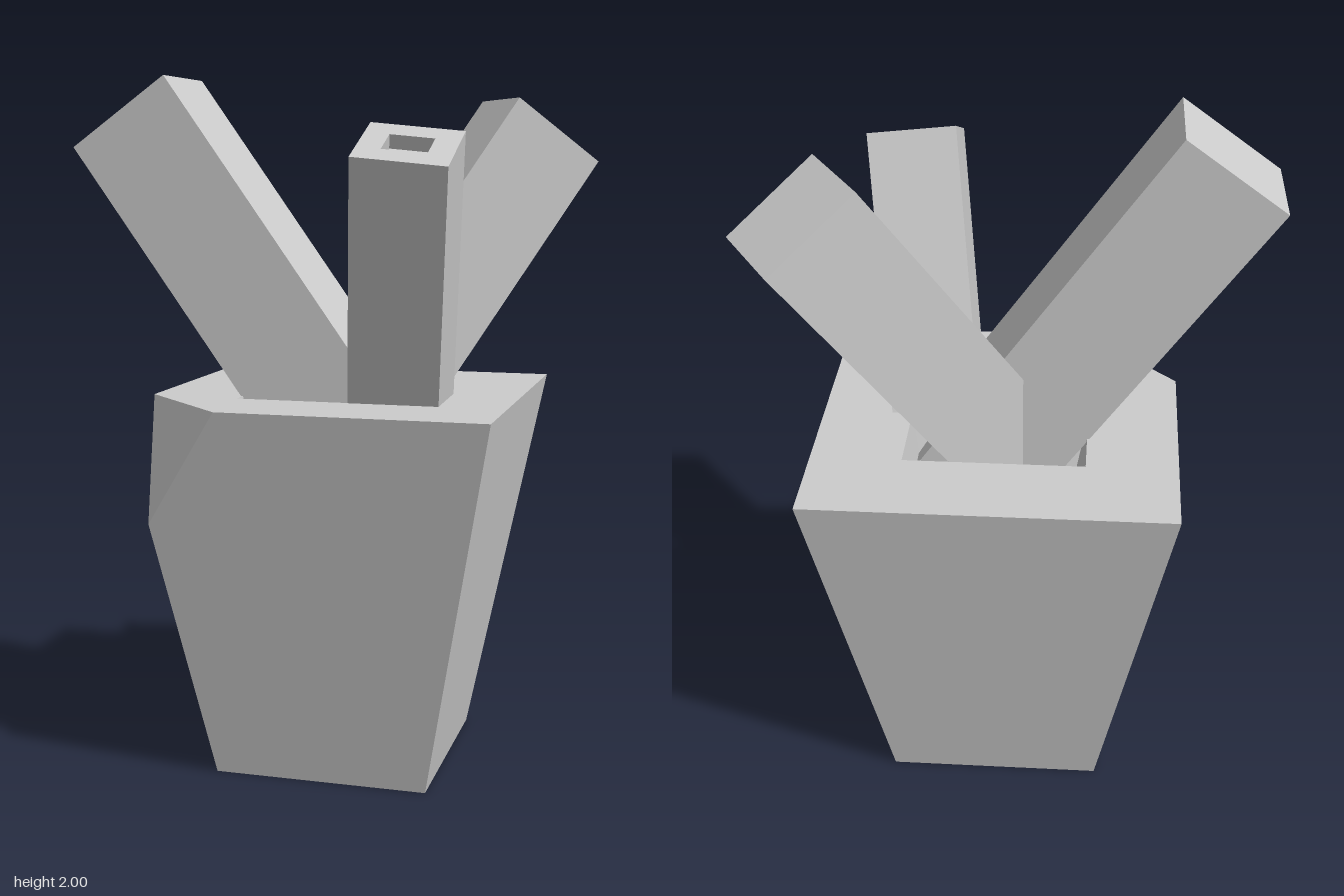
import * as THREE from 'three';

const material = new THREE.MeshStandardMaterial({ color: 0xcccccc, flatShading: true });
const V = (x, y, z) => new THREE.Vector3(x, y, z);

// Flat faces from convex outlines, corners counter-clockwise from outside
function facets(polygons) {
  const points = [];
  for (const p of polygons) {
    for (let i = 1; i < p.length - 1; i++) points.push(p[0], p[i], p[i + 1]);
  }
  const geometry = new THREE.BufferGeometry().setFromPoints(points);
  geometry.computeVertexNormals();
  return geometry;
}

function part(name, geometry, parent) {
  const mesh = new THREE.Mesh(geometry, material);
  mesh.name = name;
  parent.add(mesh);
  return mesh;
}

// Square ring around the pot axis: front-left, front-right, back-right, back-left
const CX = 0.036, CZ = -0.013;
const ring = (half, y) =>
  [[-1, 1], [1, 1], [1, -1], [-1, -1]].map(([x, z]) => V(CX + x * half, y, CZ + z * half));

function createPot() {
  const pot = new THREE.Group();
  pot.name = 'pot';
  const height = 1.095, floorY = 0.8;
  const base = ring(0.31, 0), top = ring(0.516, height);

  // One top corner is chipped off
  const chipLow = base[0].clone().lerp(top[0], 0.695);
  const chipFront = top[0].clone().add(V(0.28, 0, 0));
  const chipSide = top[0].clone().add(V(0, 0, -0.28));

  part('potWalls', facets([
    [base[0], base[1], top[1], chipFront, chipLow],
    [base[1], base[2], top[2], top[1]],
    [base[2], base[3], top[3], top[2]],
    [base[3], base[0], chipLow, chipSide, top[3]],
    [chipLow, chipFront, chipSide],
    [...base].reverse(),
  ]), pot);

  // Rim with a square opening
  const mouth = ring(0.257, height), floor = ring(0.202, floorY);
  const flat = (list) => list.map((p) => new THREE.Vector2(p.x, -p.z));
  const shape = new THREE.Shape(flat([chipFront, top[1], top[2], top[3], chipSide]));
  shape.holes.push(new THREE.Path(flat(mouth)));
  part('potRim', new THREE.ShapeGeometry(shape).rotateX(-Math.PI / 2).translate(0, height, 0), pot);

  // Tapered cavity, facing inward
  const cavity = [floor];
  for (let i = 0; i < 4; i++) {
    const j = (i + 1) % 4;
    cavity.push([mouth[i], mouth[j], floor[j], floor[i]]);
  }
  part('potCavity', facets(cavity), pot);
  return pot;
}

// Square bar whose local +z runs along its axis and whose tip centre is at the origin
function createStem({ name, tip, axis, across, width, depth, length, socket }) {
  const stem = new THREE.Group();
  stem.name = name;
  const n = axis.clone().normalize();
  const v = n.clone().cross(across).normalize();
  const u = v.clone().cross(n);
  stem.applyMatrix4(new THREE.Matrix4().makeBasis(u, v, n).setPosition(tip));

  const cap = socket ? socket.depth : 0;
  const bar = length - cap;
  part(name + 'Bar', new THREE.BoxGeometry(width, depth, bar).translate(0, 0, -cap - bar / 2), stem);

  if (socket) {
    // Pierced cap leaves a shallow socket in the tip
    const rect = (w, h) => [[-w, -h], [w, -h], [w, h], [-w, h]].map(([x, y]) => new THREE.Vector2(x / 2, y / 2));
    const shape = new THREE.Shape(rect(width, depth));
    shape.holes.push(new THREE.Path(rect(socket.width, socket.height)));
    const geometry = new THREE.ExtrudeGeometry(shape, { depth: cap, bevelEnabled: false });
    part(name + 'SocketedTip', geometry.translate(0, 0, -cap), stem);
  }
  return stem;
}

export function createModel() {
  const model = new THREE.Group();
  model.name = 'pottedStems';
  model.add(createPot());

  const stems = [
    {
      name: 'rightStem', tip: V(-0.59, 1.9, 0.033), axis: V(-0.58, 0.814, 0),
      across: V(0, 0, 1), width: 0.315, depth: 0.344, length: 1.36,
    },
    {
      name: 'backStem', tip: V(0.543, 1.85, -0.32), axis: V(0.494, 0.814, -0.308),
      across: V(0.53, 0, 0.85), width: 0.283, depth: 0.31, length: 1.3,
    },
    {
      name: 'frontStem', tip: V(0.309, 1.802, 0.408), axis: V(0.105, 0.92, 0.38),
      across: V(0.255, -0.025, -0.01), width: 0.257, depth: 0.243, length: 1.09,
      socket: { width: 0.122, height: 0.102, depth: 0.04 },
    },
  ];
  for (const stem of stems) model.add(createStem(stem));
  return model;
}
